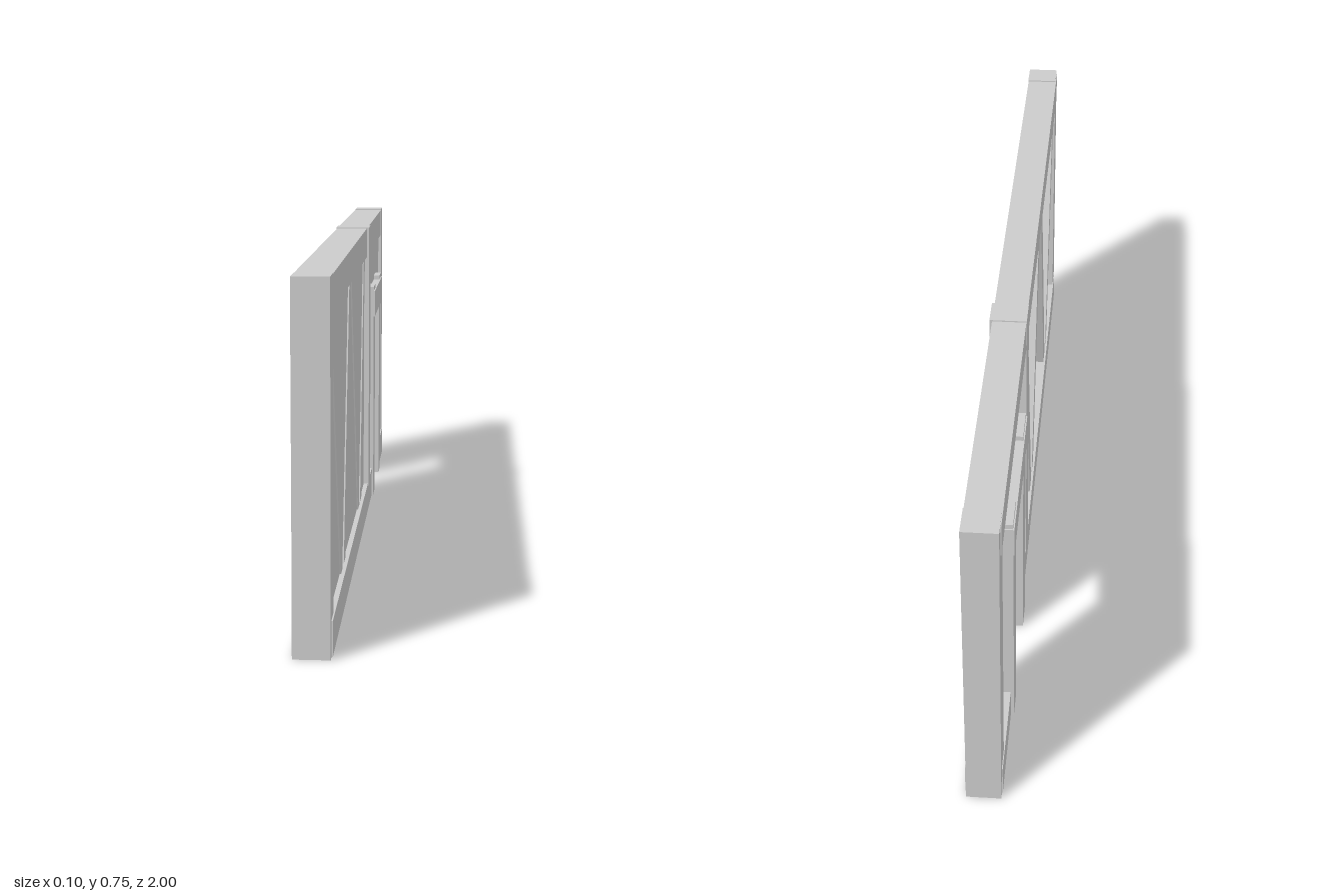
import * as THREE from 'three';

const material = new THREE.MeshStandardMaterial({
  color: 0xcccccc, flatShading: true, side: THREE.DoubleSide,
});

// Box given by its [min, max] on each axis; openBase leaves the underside off
function slab(name, [x0, x1], [y0, y1], [z0, z1], openBase = false) {
  const geo = new THREE.BoxGeometry(x1 - x0, y1 - y0, z1 - z0);
  geo.translate((x0 + x1) / 2, (y0 + y1) / 2, (z0 + z1) / 2);
  if (openBase) {
    const index = Array.from(geo.index.array);
    index.splice(18, 6);
    geo.setIndex(index);
    geo.clearGroups();
  }
  const mesh = new THREE.Mesh(geo, material);
  mesh.name = name;
  return mesh;
}

// Upright timber sheared along z, so it leans from zBottom over to zTop
function brace(zBottom, zTop) {
  const w = 0.025, y0 = 0.03, y1 = 0.7;
  const mesh = slab('diagonalBrace', [-0.035, 0.033], [y0, y1], [zBottom - w, zBottom + w], true);
  const pos = mesh.geometry.attributes.position;
  for (let i = 0; i < pos.count; i++) {
    pos.setZ(i, pos.getZ(i) + (zTop - zBottom) * (pos.getY(i) - y0) / (y1 - y0));
  }
  mesh.geometry.computeVertexNormals();
  return mesh;
}

export function createModel() {
  const wall = new THREE.Group();
  wall.name = 'timberWall';

  // Recessed infill around the doorway
  const infill = [-0.013, 0.03];
  wall.add(
    slab('mainInfill', infill, [0.01, 0.72], [-0.45, 0.96], true),
    slab('rearInfill', infill, [0.01, 0.72], [-0.96, -0.72], true),
    slab('doorwayInfill', infill, [0.52, 0.72], [-0.72, -0.45]),
  );

  // Top beam, and sills that run past the posts on both sides of the door
  wall.add(slab('topBeam', [-0.04, 0.037], [0.675, 0.749], [-0.975, 0.975]));
  for (const z of [[-0.42, 0.985], [-0.985, -0.74]]) {
    wall.add(slab('sill', [-0.04, 0.041], [0.002, 0.075], z, true));
  }

  // End posts, and the middle post standing on the sill
  for (const z of [[0.93, 1], [-1, -0.93]]) {
    wall.add(slab('endPost', [-0.038, 0.038], [0, 0.752], z, true));
  }
  wall.add(slab('middlePost', [-0.041, 0.043], [0.07, 0.752], [-0.28, -0.21]));

  // W of diagonal braces in the long bay
  for (const [bottom, top] of [[0.61, 0.9], [0.56, 0.36], [0.03, 0.3], [-0.02, -0.18]]) {
    wall.add(brace(bottom, top));
  }

  // Doorway: jambs with wider heads, and the lintel across them
  const door = new THREE.Group();
  door.name = 'doorFrame';
  for (const [jamb, head] of [
    [[-0.47, -0.4], [-0.475, -0.388]],
    [[-0.76, -0.69], [-0.772, -0.685]],
  ]) {
    door.add(
      slab('doorJamb', [-0.047, 0.045], [0, 0.51], jamb),
      slab('jambHead', [-0.047, 0.046], [0.505, 0.578], head),
    );
  }
  door.add(slab('lintel', [-0.05, 0.049], [0.498, 0.567], [-0.775, -0.385]));
  wall.add(door);

  return wall;
}
